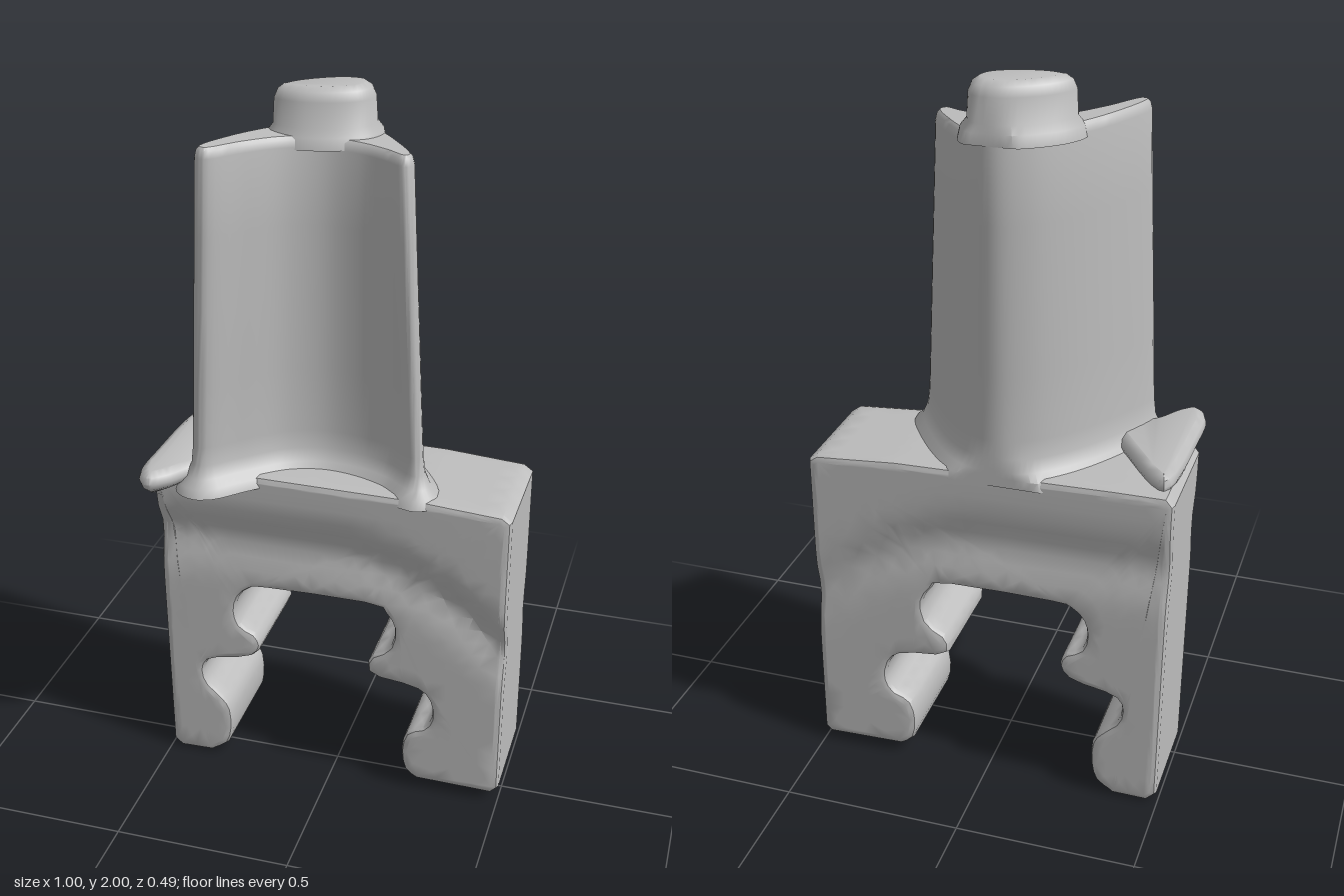
import * as THREE from 'three';
import { mergeVertices, toCreasedNormals } from 'three/addons/utils/BufferGeometryUtils.js';

const metal = new THREE.MeshStandardMaterial({ color: 0xbdbdbd });
metal.name = 'cast metal';

const lerp = THREE.MathUtils.lerp;

// Closed smooth outline in the x-z plane, clockwise seen from above
function outline(points, count) {
  const curve = new THREE.CatmullRomCurve3(points.map(([x, z]) => new THREE.Vector3(x, 0, z)), true);
  return Array.from({ length: count }, (_, i) => {
    const p = curve.getPoint(i / count);
    const t = curve.getTangent(i / count);
    return { x: p.x, z: p.z, nx: t.z, nz: -t.x };
  });
}

// Stacks outlines upward; each ring is [height, taper 0..1, outward offset]
function loft(lower, upper, rings, { count = 64, slope = () => 0, minZ = -Infinity } = {}) {
  const a = outline(lower, count), b = outline(upper, count);
  const pos = [], index = [];
  rings.forEach(([y, t, offset]) => {
    for (let i = 0; i < count; i++) {
      const x = lerp(a[i].x, b[i].x, t) + offset * lerp(a[i].nx, b[i].nx, t);
      const z = lerp(a[i].z, b[i].z, t) + offset * lerp(a[i].nz, b[i].nz, t);
      pos.push(x, y + slope(x) * t, Math.max(z, minZ));
    }
  });
  for (let r = 0; r < rings.length - 1; r++) {
    for (let i = 0; i < count; i++) {
      const j = (i + 1) % count, p = r * count, q = p + count;
      index.push(p + i, q + i, p + j, p + j, q + i, q + j);
    }
  }
  // end caps
  [0, rings.length - 1].forEach((r) => {
    const base = r * count;
    const ring = Array.from({ length: count }, (_, i) =>
      new THREE.Vector2(pos[(base + i) * 3], pos[(base + i) * 3 + 2]));
    for (const [i, j, k] of THREE.ShapeUtils.triangulateShape(ring, [])) {
      const facesDown = ring[j].clone().sub(ring[i]).cross(ring[k].clone().sub(ring[i])) > 0;
      if (facesDown === (r === 0)) index.push(base + i, base + j, base + k);
      else index.push(base + i, base + k, base + j);
    }
  });
  const geo = new THREE.BufferGeometry();
  geo.setAttribute('position', new THREE.Float32BufferAttribute(pos, 3));
  geo.setIndex(index);
  return toCreasedNormals(geo, 0.7);
}

// Splits long edges so that flat faces can be bent
function subdivide(geo, maxEdge) {
  const p = (geo.index ? geo.toNonIndexed() : geo).attributes.position;
  const stack = [], out = [];
  const vertex = (i) => new THREE.Vector3().fromBufferAttribute(p, i);
  for (let i = 0; i < p.count; i += 3) stack.push([vertex(i), vertex(i + 1), vertex(i + 2)]);
  while (stack.length) {
    const tri = stack.pop();
    const len = tri.map((v, i) => v.distanceTo(tri[(i + 1) % 3]));
    const k = len.indexOf(Math.max(...len));
    if (len[k] < maxEdge) {
      tri.forEach((v) => out.push(v.x, v.y, v.z));
      continue;
    }
    const a = tri[k], b = tri[(k + 1) % 3], c = tri[(k + 2) % 3];
    const m = a.clone().add(b).multiplyScalar(0.5);
    stack.push([a, m, c], [m, b, c]);
  }
  const result = new THREE.BufferGeometry();
  result.setAttribute('position', new THREE.Float32BufferAttribute(out, 3));
  return result;
}

function rootGeometry() {
  // Forked block with a stepped slot
  const slot = [
    [-0.36, 0.01], [-0.32, 0.04], [-0.305, 0.1], [-0.31, 0.17], [-0.34, 0.21], [-0.38, 0.25], [-0.388, 0.3],
    [-0.36, 0.335], [-0.25, 0.36], [-0.212, 0.4], [-0.225, 0.44], [-0.27, 0.465], [-0.285, 0.51],
    [-0.275, 0.56], [-0.24, 0.595], [-0.18, 0.605], [0.11, 0.605], [0.16, 0.58], [0.185, 0.53],
    [0.17, 0.465], [0.115, 0.425], [0.12, 0.37], [0.24, 0.35], [0.285, 0.32], [0.3, 0.26],
    [0.28, 0.215], [0.23, 0.19], [0.212, 0.13], [0.222, 0.06], [0.26, 0.03],
  ];
  const shape = new THREE.Shape();
  shape.moveTo(-0.47, 0);
  shape.lineTo(-0.37, 0.002);
  shape.splineThru(slot.map(([x, y]) => new THREE.Vector2(x, y)));
  [[0.48, 0.025], [0.5, 0.045], [0.5, 0.93], [0.475, 0.948], [0.25, 0.965], [-0.35, 0.975],
    [-0.485, 0.975], [-0.505, 0.95], [-0.495, 0.025]].forEach(([x, y]) => shape.lineTo(x, y));
  const bevel = 0.018;
  const block = new THREE.ExtrudeGeometry(shape, {
    depth: 0.32 - 2 * bevel, bevelThickness: bevel, bevelSize: bevel, bevelOffset: -bevel,
    bevelSegments: 2, curveSegments: 2, steps: 4,
  });
  block.translate(0, 0, -0.16 + bevel);
  const geo = subdivide(block, 0.06);

  // Shallow arched groove on front and back, with a fuller upper front edge
  const p = geo.attributes.position;
  for (let i = 0; i < p.count; i++) {
    const x = p.getX(i), y = p.getY(i), z = p.getZ(i);
    const arch = 0.75 - Math.max(0, x) ** 2;
    const groove = 0.022 * Math.exp(-(((y - arch) / 0.07) ** 2));
    const upper = z > 0 ? 0.018 * THREE.MathUtils.smoothstep(y, arch, arch + 0.12) : 0;
    p.setZ(i, z + (z / 0.16) * (upper - groove) - 0.08 - 0.008 * x);
  }
  return toCreasedNormals(mergeVertices(geo, 1e-4), 0.6);
}

export function createModel() {
  const model = new THREE.Group();
  const add = (name, geometry) => {
    const mesh = new THREE.Mesh(geometry, metal);
    mesh.name = name;
    model.add(mesh);
  };

  add('forkedRoot', rootGeometry());

  // Crescent blade, flared into the root and slightly tapered upward
  const bladeBase = [
    [-0.365, 0.145], [-0.3, 0], [-0.2, -0.14], [-0.11, -0.215], [-0.03, -0.24], [0.07, -0.205],
    [0.17, -0.1], [0.25, 0.045], [0.23, 0.06], [0.15, 0.005], [0.05, -0.03], [-0.05, -0.035],
    [-0.15, 0.0], [-0.25, 0.085], [-0.335, 0.16],
  ];
  const bladeTip = [
    [-0.325, 0.14], [-0.28, 0.01], [-0.19, -0.13], [-0.11, -0.21], [-0.03, -0.24], [0.05, -0.205],
    [0.13, -0.12], [0.19, -0.02], [0.17, 0.005], [0.11, -0.025], [0.04, -0.05], [-0.05, -0.055],
    [-0.14, -0.02], [-0.22, 0.06], [-0.295, 0.155],
  ];
  add('blade', loft(bladeBase, bladeTip, [
    [0.94, 0, 0.05], [0.965, 0, 0.04], [0.985, 0, 0.018], [1.02, 0.02, 0.004], [1.07, 0.07, 0],
    [1.25, 0.28, 0], [1.45, 0.51, 0], [1.65, 0.75, 0], [1.85, 0.98, 0], [1.868, 1, -0.004], [1.876, 1, -0.012],
  ], { count: 90, slope: (x) => -0.05 * x, minZ: -0.243 }));

  // Raised stud on the blade tip
  const stud = [
    [-0.195, -0.085], [-0.175, -0.14], [-0.1, -0.205], [-0.03, -0.232], [0.03, -0.22],
    [0.055, -0.165], [0.035, -0.11], [-0.03, -0.07], [-0.13, -0.055],
  ];
  add('tipStud', loft(stud, stud, [
    [1.85, 0, 0.025], [1.88, 0, 0.018], [1.9, 0, 0.002], [1.965, 0, -0.002], [1.988, 0, -0.012], [2, 0, -0.03],
  ], { count: 48, minZ: -0.24 }));

  // Overhanging lip at the front corner of the platform
  const lip = [
    [-0.47, -0.2], [-0.34, -0.05], [-0.27, 0.085], [-0.36, 0.14], [-0.415, 0.215],
    [-0.46, 0.245], [-0.492, 0.215], [-0.5, 0.08],
  ];
  add('platformLip', loft(lip, lip, [
    [0.93, 0, -0.06], [0.955, 0, -0.02], [0.968, 0, -0.004], [0.985, 0, 0.002], [1.003, 0, -0.004], [1.015, 0, -0.022],
  ], { count: 48 }));

  return model;
}
